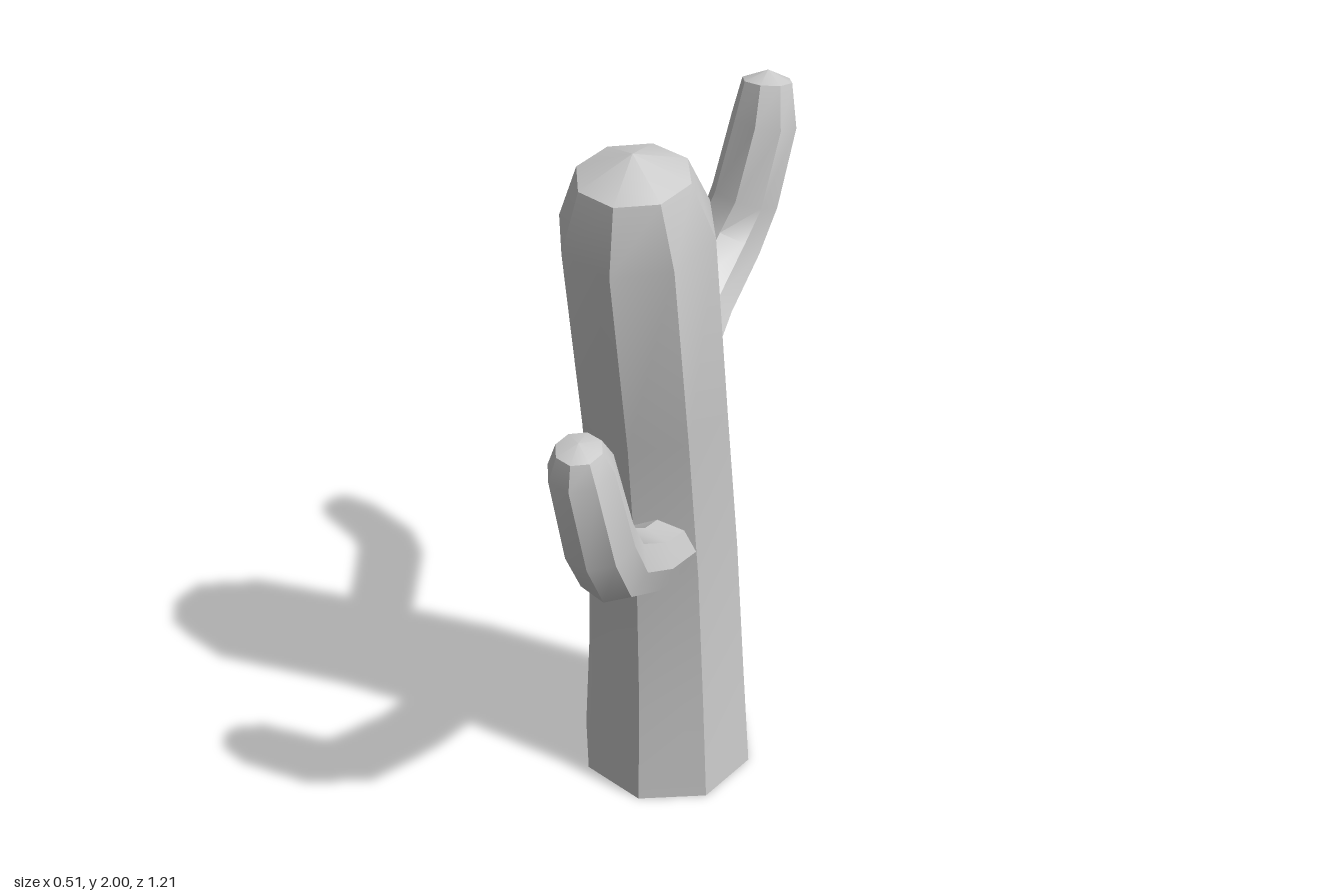
import * as THREE from 'three';
import { toCreasedNormals } from 'three/addons/utils/BufferGeometryUtils.js';

const SIDES = 8;

// Eight-sided limb swept along [x, y, z, radius] rings; the last point is the tip of the cap.
function limb(name, path, material, startDirection) {
  const centres = path.map(([x, y, z]) => new THREE.Vector3(x, y, z));
  const rings = path.length - 1;
  const positions = [];
  const index = [];

  for (let i = 0; i < rings; i++) {
    const t = i === 0 && startDirection
      ? startDirection
      : centres[i + 1].clone().sub(centres[Math.max(i - 1, 0)]).normalize();
    const u = new THREE.Vector3(1, 0, 0).addScaledVector(t, -t.x).normalize();
    const v = new THREE.Vector3().crossVectors(t, u);
    for (let k = 0; k < SIDES; k++) {
      const a = (k / SIDES) * Math.PI * 2;
      const p = centres[i].clone()
        .addScaledVector(u, Math.cos(a) * path[i][3])
        .addScaledVector(v, Math.sin(a) * path[i][3]);
      positions.push(p.x, p.y, p.z);
    }
  }
  const base = rings * SIDES;
  const tip = base + 1;
  positions.push(...centres[0].toArray(), ...centres[rings].toArray());

  for (let k = 0; k < SIDES; k++) {
    const n = (k + 1) % SIDES;
    for (let i = 0; i < rings - 1; i++) {
      const a = i * SIDES + k, b = i * SIDES + n;
      index.push(a, b, b + SIDES, a, b + SIDES, a + SIDES);
    }
    const top = (rings - 1) * SIDES;
    index.push(base, n, k, top + k, top + n, tip);
  }

  const geometry = new THREE.BufferGeometry();
  geometry.setAttribute('position', new THREE.Float32BufferAttribute(positions, 3));
  geometry.setIndex(index);
  const mesh = new THREE.Mesh(toCreasedNormals(geometry, Math.PI / 6), material);
  mesh.name = name;
  return mesh;
}

export function createModel() {
  const group = new THREE.Group();
  group.name = 'cactus';
  const material = new THREE.MeshStandardMaterial({ color: 0xcccccc });

  // Trunk: wide flat base, leaning forward towards the top
  group.add(limb('trunk', [
    [0, 0, -0.15, 0.253],
    [0, 0.36, -0.137, 0.23],
    [0, 0.82, -0.1, 0.209],
    [0, 1.28, -0.022, 0.194],
    [0, 1.81, 0.095, 0.188],
    [0, 1.947, 0.115, 0.135],
    [0, 2.0, 0.12, 0],
  ], material, new THREE.Vector3(0, 1, 0)));

  // Lower arm, bending up in front
  group.add(limb('frontArm', [
    [0.057, 0.885, 0.04, 0.088],
    [0.057, 0.975, 0.245, 0.086],
    [0.052, 1.1, 0.43, 0.09],
    [0.045, 1.215, 0.493, 0.088],
    [0.02, 1.435, 0.53, 0.08],
    [0.02, 1.493, 0.54, 0.055],
    [0.02, 1.51, 0.543, 0],
  ], material));

  // Upper arm, bending up behind and drifting to the left
  group.add(limb('backArm', [
    [0.03, 1.32, -0.1, 0.088],
    [0.035, 1.41, -0.29, 0.088],
    [0.06, 1.515, -0.44, 0.092],
    [0.09, 1.63, -0.49, 0.09],
    [0.125, 1.83, -0.52, 0.085],
    [0.125, 1.93, -0.535, 0.064],
    [0.125, 1.955, -0.54, 0],
  ], material));

  return group;
}
